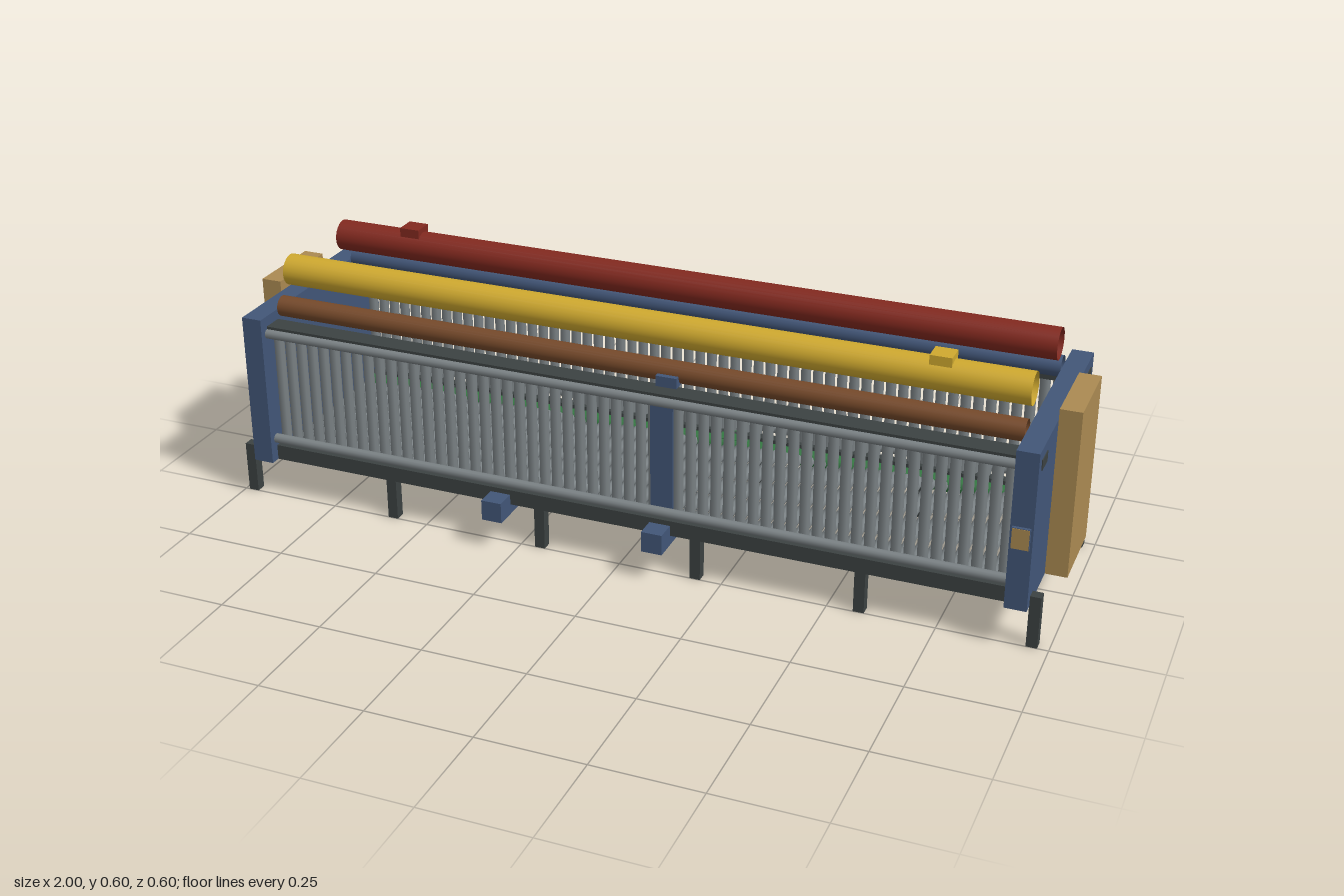
import * as THREE from 'three';

const mat = (name, color, side = THREE.FrontSide) => {
  const m = new THREE.MeshStandardMaterial({ color, side });
  m.name = name;
  return m;
};

export function createModel() {
  const root = new THREE.Group();
  root.name = 'openGrilleFrame';
  const D = THREE.DoubleSide;
  const blue = mat('slateBlue', 0x425678, D);
  const tan = mat('tan', 0xab8a52);
  const yellow = mat('yellow', 0xcfa92f, D);
  const red = mat('red', 0x82291f, D);
  const green = mat('green', 0x347842, D);
  const brown = mat('brown', 0x75492a, D);
  const grey = mat('rodGrey', 0x7a8184, D);
  const dark = mat('darkGrey', 0x3c4242);

  // Box given by its min and max along each axis
  const box = (name, m, x0, x1, y0, y1, z0, z1) => {
    const mesh = new THREE.Mesh(new THREE.BoxGeometry(x1 - x0, y1 - y0, z1 - z0), m);
    mesh.position.set((x0 + x1) / 2, (y0 + y1) / 2, (z0 + z1) / 2);
    mesh.name = name;
    root.add(mesh);
  };

  // Hollow tube running the length of the frame
  const tube = (name, m, y, z, r, sides = 24) => {
    const g = new THREE.CylinderGeometry(r, r, 1.8, sides, 1, true).rotateZ(Math.PI / 2);
    const mesh = new THREE.Mesh(g, m);
    mesh.position.set(0, y, z);
    mesh.name = name;
    root.add(mesh);
  };

  // End plates with boxes on their outer faces
  for (const s of [-1, 1]) {
    box('endPlate', blue, s * 0.925 - 0.025, s * 0.925 + 0.025, 0.1, 0.475, -0.275, 0.275);
    box('endBox', tan, s * 0.975 - 0.025, s * 0.975 + 0.025, 0.1, 0.5, -0.1, 0.1);
  }

  // Small control block on the front edge of one end plate
  box('controlBlock', blue, 0.905, 0.945, 0.25, 0.3, 0.275, 0.283);
  box('controlFace', tan, 0.906, 0.944, 0.251, 0.299, 0.283, 0.284);

  // Tubes above and along the frame
  tube('frontUpperTube', yellow, 0.55, 0.125, 0.0375);
  tube('backUpperTube', red, 0.55, -0.125, 0.0375);
  tube('frontTopRail', brown, 0.475, 0.175, 0.025);
  tube('backTopRail', blue, 0.475, -0.175, 0.025);
  tube('frontLowerTube', blue, 0.118, 0.2, 0.02);
  tube('backLowerTube', green, 0.118, -0.2, 0.02);

  // Blocks on the upper tubes
  box('frontTubeBlock', yellow, 0.675, 0.725, 0.55, 0.6, 0.1, 0.15);
  box('backTubeBlock', red, -0.725, -0.675, 0.55, 0.6, -0.15, -0.1);

  // Brackets at the foot of the long sides
  for (const x of [-0.3, 0.1])
    box('frontBracket', blue, x - 0.025, x + 0.025, 0.075, 0.125, 0.19, 0.3);
  box('backBracket', green, 0.075, 0.125, 0.088, 0.137, -0.3, -0.19);

  // Vertical strip in the front grille with its top block
  box('frontStrip', blue, 0.073, 0.127, 0.15, 0.425, 0.215, 0.239);
  box('stripBlock', blue, 0.075, 0.125, 0.45, 0.475, 0.185, 0.213);

  // Side rails and legs, mirrored front to back
  for (const s of [-1, 1]) {
    const z0 = s * 0.2375 - 0.0125;
    const z1 = s * 0.2375 + 0.0125;
    box('sideTopBar', dark, -0.952, 0.952, 0.425, 0.45, s * 0.225 - 0.025, s * 0.225 + 0.025);
    box('sideBottomBar', dark, -0.9, 0.9, 0.1, 0.137, z0, z1);
    box('legBar', dark, -0.9905, 0.9745, 0.1, 0.125, z0, z1);
    tube('grilleTopRail', grey, 0.432, s * 0.25, 0.0115, 12);
    tube('grilleBottomRail', grey, 0.157, s * 0.25, 0.0115, 12);
    for (let i = 0; i < 6; i++) {
      const x = -0.978 + i * 0.388;
      box('leg', dark, x - 0.0125, x + 0.0125, 0, 0.125, z0, z1);
    }
  }

  // Rows of rods: upright on both sides, lying across the floor
  const upright = new THREE.CylinderGeometry(0.0125, 0.0125, 0.28, 8, 1, true);
  const across = new THREE.CylinderGeometry(0.0125, 0.0125, 0.37, 8, 1, true).rotateX(Math.PI / 2);
  const row = (name, geometry, y, z) => {
    const group = new THREE.Group();
    group.name = name;
    for (let i = 0; i < 60; i++) {
      const rod = new THREE.Mesh(geometry, grey);
      rod.name = 'rod';
      rod.position.set(-0.885 + i * 0.03, y, z);
      group.add(rod);
    }
    root.add(group);
  };
  row('frontGrille', upright, 0.29, 0.225);
  row('backGrille', upright, 0.29, -0.225);
  row('floorGrille', across, 0.12, 0);

  return root;
}
